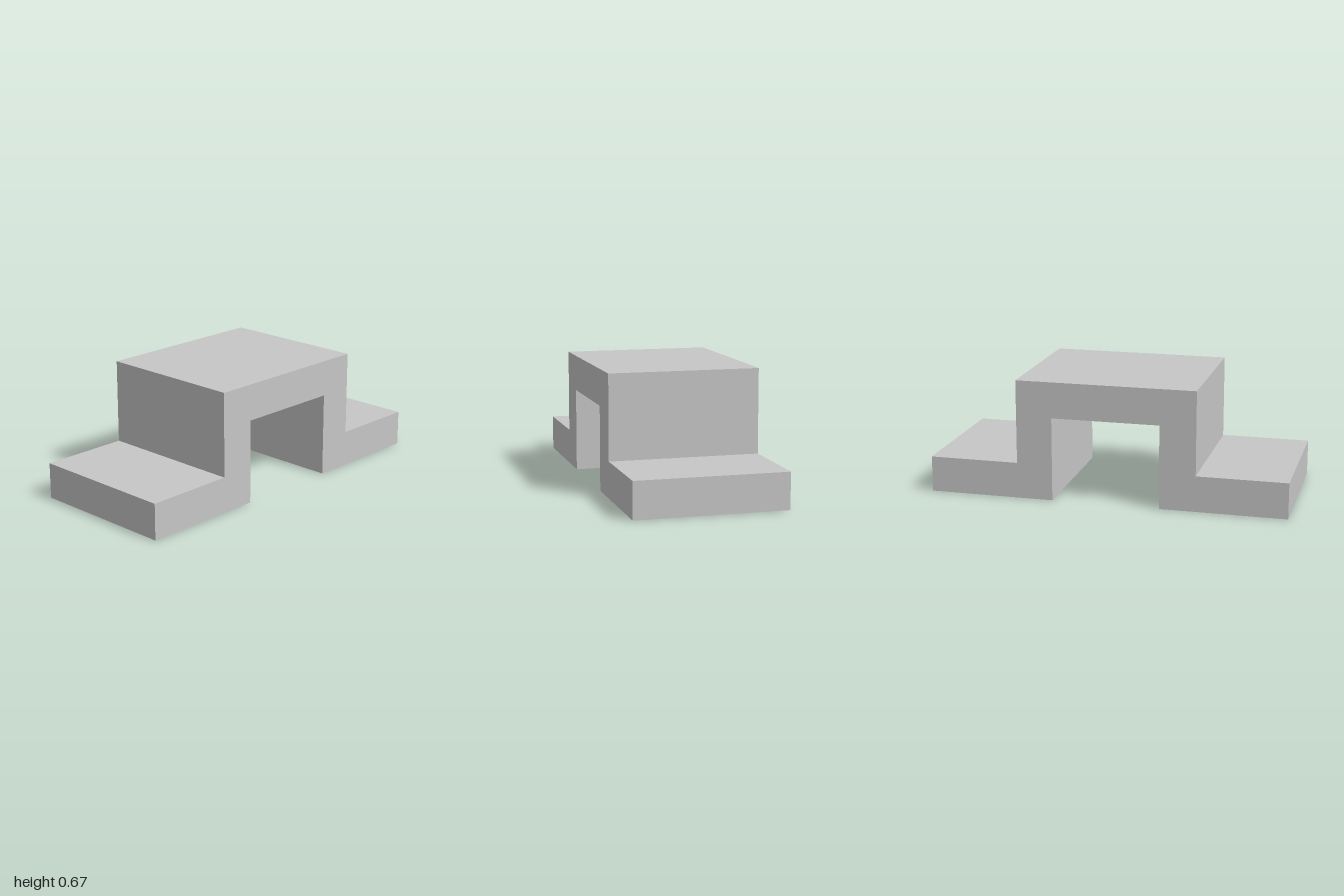
import * as THREE from 'three';

export function createModel() {
  const group = new THREE.Group();
  group.name = 'channelBracket';
  const grey = new THREE.MeshStandardMaterial({ color: 0xc6c6c6 });
  grey.name = 'lightGrey';

  // Hat-shaped profile: one half from the foot to the crown, then mirrored
  const half = [[0.3, 0.467], [0.3, 0], [1, 0], [1, 0.2], [0.5, 0.2], [0.5, 0.667]];
  const mirrored = half.map(([x, y]) => [-x, y]).reverse();
  const profile = new THREE.Shape([...half, ...mirrored].map(([x, y]) => new THREE.Vector2(x, y)));

  // Straight extrusion, centred front to back
  const depth = 0.83;
  const geometry = new THREE.ExtrudeGeometry(profile, { depth, bevelEnabled: false });
  geometry.translate(0, 0, -depth / 2);

  const bracket = new THREE.Mesh(geometry, grey);
  bracket.name = 'bracket';
  group.add(bracket);
  return group;
}
